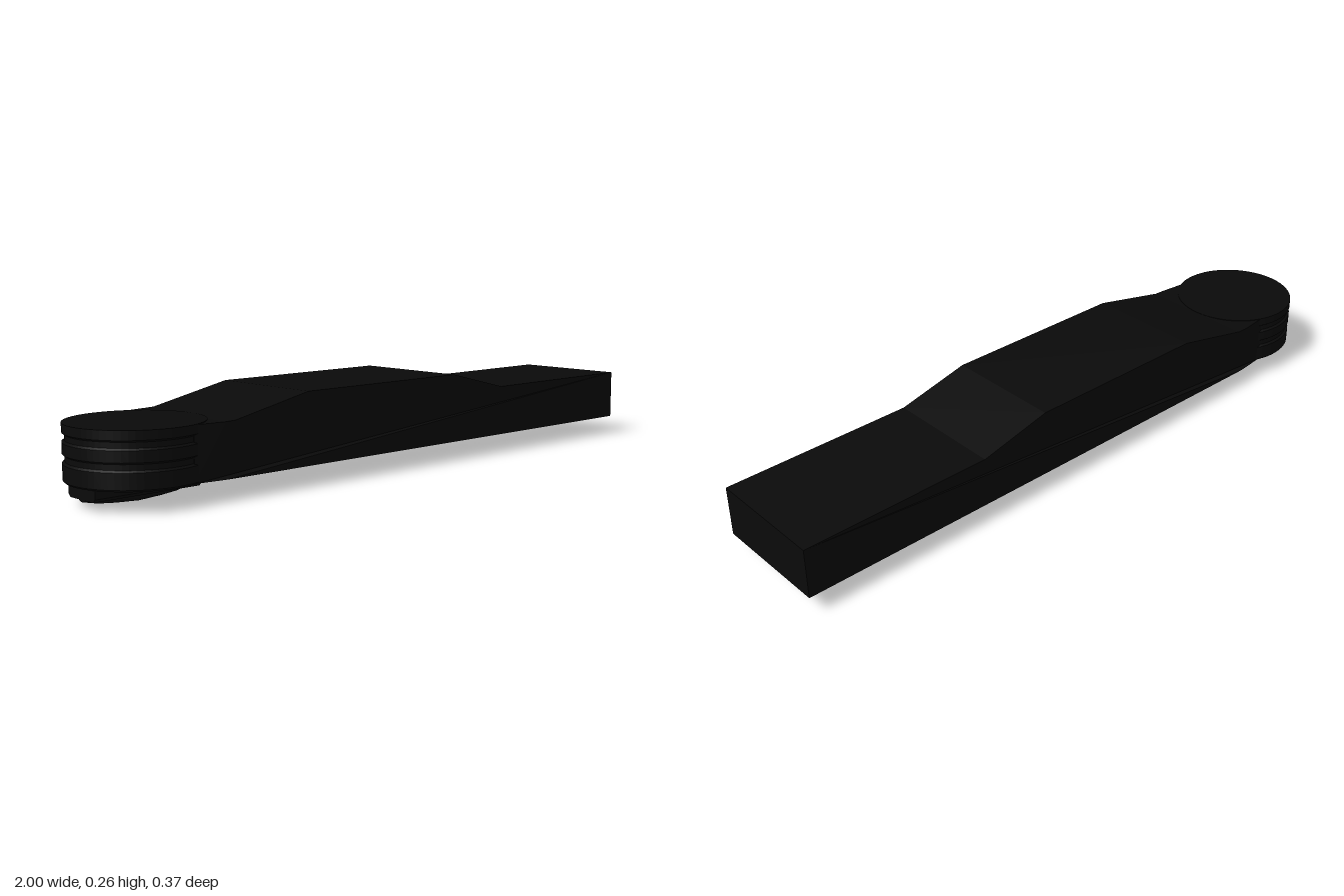
import * as THREE from 'three';

const black = new THREE.MeshStandardMaterial({ color: 0x0a0a0a });
const PIVOT_X = -0.815;

const v2 = (list) => list.map(([x, y]) => new THREE.Vector2(x, y));

function addPart(group, name, geometry) {
  const mesh = new THREE.Mesh(geometry, black);
  mesh.name = name;
  group.add(mesh);
  return mesh;
}

// Revolved part with crisp edges between the profile segments
function turned(profile, segments) {
  const g = new THREE.LatheGeometry(v2(profile), segments).toNonIndexed();
  g.computeVertexNormals();
  return g;
}

// Long bar with a raised, sloped middle and a slightly narrowed pivot end
function armGeometry() {
  const shape = new THREE.Shape(v2([
    [-0.755, 0.058], [-0.66, 0.058], [1, 0.058], [1, 0.208], [0.42, 0.208],
    [0.2, 0.262], [-0.38, 0.262], [-0.63, 0.209], [-0.66, 0.208], [-0.755, 0.208],
  ]));
  const g = new THREE.ExtrudeGeometry(shape, { depth: 0.36, bevelEnabled: false });
  g.translate(0, 0, -0.18);
  const p = g.attributes.position;
  for (let i = 0; i < p.count; i++) {
    if (p.getX(i) < -0.7) p.setZ(i, p.getZ(i) * 0.94);
  }
  g.computeVertexNormals();
  return g;
}

export function createModel() {
  const group = new THREE.Group();
  group.name = 'pivotArm';

  addPart(group, 'arm', armGeometry());

  // Round pivot head with two shallow grooves around its rim
  const head = addPart(group, 'pivotHead', turned([
    [0, 0.057], [0.18, 0.057], [0.185, 0.062], [0.185, 0.105],
    [0.178, 0.11], [0.178, 0.125], [0.185, 0.13], [0.185, 0.16],
    [0.178, 0.165], [0.178, 0.18], [0.185, 0.185], [0.185, 0.21], [0, 0.21],
  ], 64));
  head.position.x = PIVOT_X;

  // Chamfered plate across the underside of the head
  const section = new THREE.Shape(v2([
    [-0.061, 0.065], [-0.061, 0.033], [-0.052, 0.024],
    [0.052, 0.024], [0.061, 0.033], [0.061, 0.065],
  ]));
  const plate = new THREE.ExtrudeGeometry(section, { depth: 0.325, bevelEnabled: false });
  plate.rotateY(Math.PI / 2);
  addPart(group, 'undersidePlate', plate).position.x = -0.978;

  // Barrel-shaped ridge lying along the plate
  const ridge = turned([
    [0, -0.162], [0.022, -0.162], [0.031, -0.12], [0.036, -0.07], [0.04, 0],
    [0.036, 0.07], [0.031, 0.12], [0.022, 0.162], [0, 0.162],
  ], 24);
  ridge.rotateZ(-Math.PI / 2);
  addPart(group, 'undersideRidge', ridge).position.set(PIVOT_X, 0.04, 0);

  return group;
}
